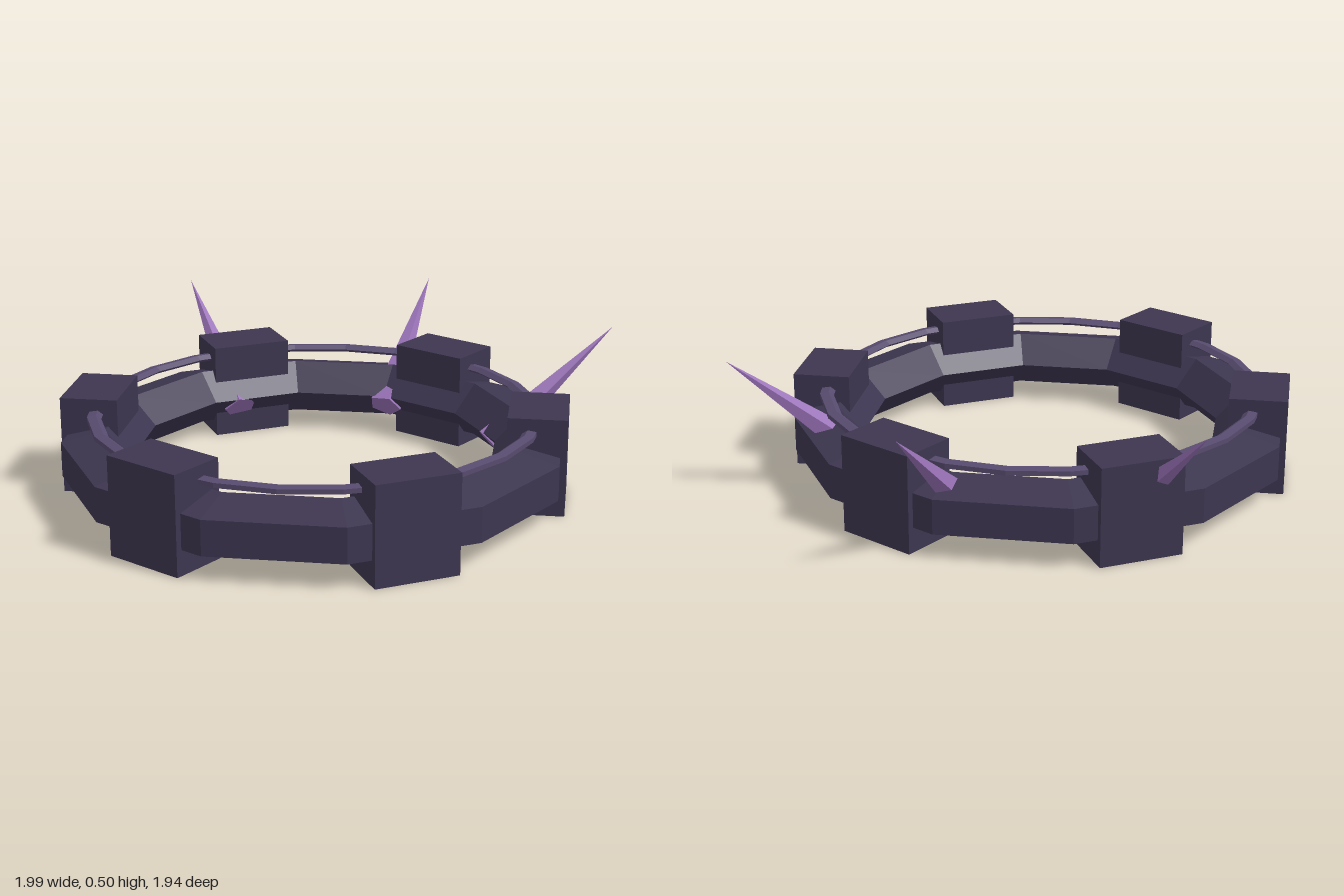
import * as THREE from 'three';

const CX = -0.115, CZ = 0.083; // ring centre
const RING_R = 0.775, RING_Y = 0.15;

// Gives every face its own normals, for a faceted look
function faceted(geometry) {
  const g = geometry.index ? geometry.toNonIndexed() : geometry;
  g.computeVertexNormals();
  return g;
}

function addMesh(parent, name, geometry, material) {
  const mesh = new THREE.Mesh(faceted(geometry), material);
  mesh.name = name;
  parent.add(mesh);
  return mesh;
}

// Five-sided band section, flat outside and pointed inside, swept round the y axis
function band(radius, y, width, height, segments) {
  const points = [];
  for (let i = 0; i <= 5; i++) {
    const a = ((i % 5) * 72 - 36) * Math.PI / 180;
    points.push(new THREE.Vector2(radius + Math.cos(a) * width, y + Math.sin(a) * height));
  }
  return new THREE.LatheGeometry(points, segments);
}

export function createModel() {
  const iron = new THREE.MeshStandardMaterial({ color: 0x3d3650 });
  iron.name = 'darkIron';
  const trim = new THREE.MeshStandardMaterial({ color: 0x574b6e });
  trim.name = 'violetTrim';
  const crystal = new THREE.MeshStandardMaterial({ color: 0x9a72b8 });
  crystal.name = 'purpleCrystal';

  const model = new THREE.Group();
  model.name = 'spikedRing';
  const ring = new THREE.Group();
  ring.name = 'ring';
  ring.position.set(CX, 0, CZ);
  model.add(ring);

  // Main hoop and the thin hoop floating above it
  addMesh(ring, 'hoop', band(RING_R, RING_Y, 0.136, 0.104, 12), iron);
  addMesh(ring, 'trimHoop', band(0.77, 0.292, 0.027, 0.014, 24), trim);

  // Six blocks clasping the hoop
  for (let i = 0; i < 6; i++) {
    const a = (15 + i * 60) * Math.PI / 180;
    const block = addMesh(ring, 'block' + (i + 1), new THREE.BoxGeometry(0.203, 0.345, 0.292), iron);
    block.position.set(Math.cos(a) * RING_R, 0.1725, Math.sin(a) * RING_R);
    block.rotation.y = -a;
  }

  // Three spikes leaning outward through the hoop
  const length = 0.61, tilt = 40 * Math.PI / 180;
  [-10, -60, -110].forEach((deg, i) => {
    const a = deg * Math.PI / 180;
    const dir = new THREE.Vector3(
      Math.cos(a) * Math.cos(tilt), Math.sin(tilt), Math.sin(a) * Math.cos(tilt));
    const tip = new THREE.Vector3(Math.cos(a) * 1.12, 0.5, Math.sin(a) * 1.12);
    const spike = addMesh(ring, 'spike' + (i + 1), new THREE.ConeGeometry(0.063, length, 5), crystal);
    spike.quaternion.setFromUnitVectors(new THREE.Vector3(0, 1, 0), dir);
    spike.position.copy(tip).addScaledVector(dir, -length / 2);
  });

  return model;
}
